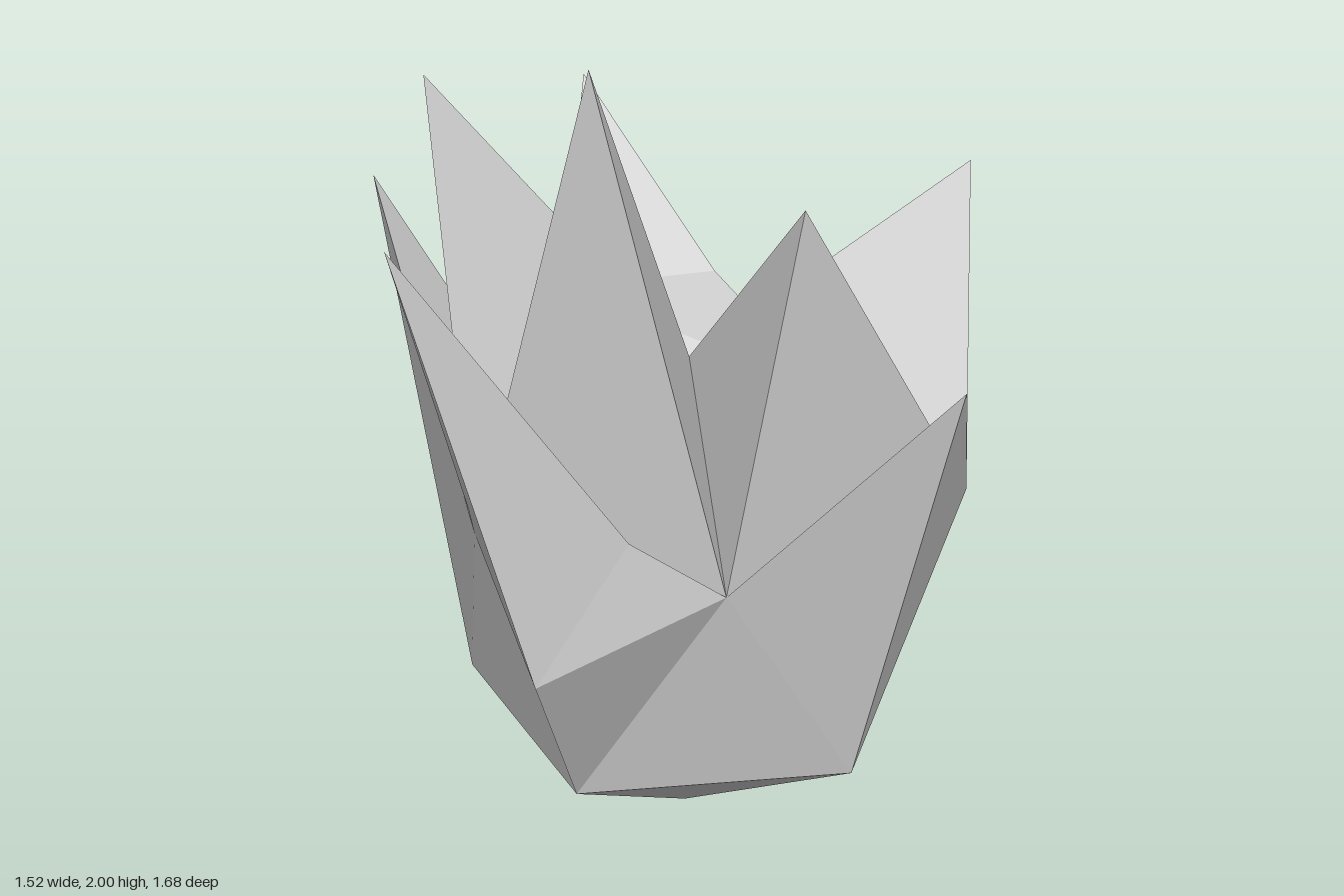
import * as THREE from 'three';

const material = new THREE.MeshStandardMaterial({ color: 0xcccccc, flatShading: true });

// Flat-shaded mesh from a list of corner triples
function facetMesh(name, triangles) {
  const geometry = new THREE.BufferGeometry();
  geometry.setAttribute('position', new THREE.Float32BufferAttribute(triangles.flat(2), 3));
  geometry.computeVertexNormals();
  const mesh = new THREE.Mesh(geometry, material);
  mesh.name = name;
  return mesh;
}

// Three sides rising from a triangular base to a tip
const pyramid = ([a, b, c], tip) => [[a, b, tip], [b, c, tip], [c, a, tip]];

// Collar of triangles joining a base triangle to a smaller section
const collar = ([a, b, c], [p, q, r]) => [
  [a, b, p], [p, b, q],
  [b, c, q], [q, c, r],
  [c, a, p], [c, p, r],
];

export function createModel() {
  const group = new THREE.Group();
  group.name = 'spikyCrystal';

  // Icosahedral core: two poles and two rings of five
  const cx = 0.105, cz = -0.04, R = 0.612;
  const ring = (y, offset) => Array.from({ length: 5 }, (_, k) => {
    const a = (k + offset) * Math.PI * 2 / 5, r = R * 2 / Math.sqrt(5);
    return [cx + r * Math.cos(a), y, cz + r * Math.sin(a)];
  });
  const top = [cx, 2 * R, cz], bottom = [cx, 0, cz];
  const upper = ring(R * (1 + 1 / Math.sqrt(5)), 0);
  const lower = ring(R * (1 - 1 / Math.sqrt(5)), 0.5);
  // One upper edge is pulled outwards
  upper[0] = [0.76, 0.905, -0.11];
  upper[4] = [0.375, 0.905, -0.63];

  // Spikes on the cap faces and on the upper side faces, by face index
  const capSpikes = {
    0: { tip: [0.40, 1.715, 0.30] },
    1: { tip: [-0.05, 2.0, 0.33] },
    2: { tip: [-0.465, 1.905, 0.10] },
    4: { tip: [0.71, 1.595, -0.48] },
  };
  const sideSpikes = {
    0: { tip: [0.757, 1.36, 0.375] },
    1: {
      tip: [-0.345, 1.77, 0.84],
      section: [[-0.09, 0.78, 0.755], [0.08, 1.055, 0.59], [-0.30, 1.04, 0.465]],
    },
    2: { tip: [-0.76, 1.485, -0.44] },
    3: {
      tip: [-0.305, 1.655, -0.84],
      section: [[-0.105, 0.87, -0.75], [-0.31, 1.17, -0.56], [0.07, 1.2, -0.67]],
    },
  };

  const core = [];
  const addFace = (face, spike, name) => {
    if (!spike) return core.push(face);
    const { tip, section } = spike;
    const sides = section
      ? [...collar(face, section), ...pyramid(section, tip)]
      : pyramid(face, tip);
    group.add(facetMesh(name, sides));
  };

  for (let k = 0; k < 5; k++) {
    const n = (k + 1) % 5;
    addFace([top, upper[n], upper[k]], capSpikes[k], `capSpike${k}`);
    addFace([lower[k], upper[k], upper[n]], sideSpikes[k], `sideSpike${k}`);
    core.push([upper[n], lower[n], lower[k]], [bottom, lower[k], lower[n]]);
  }
  group.add(facetMesh('core', core));
  return group;
}
